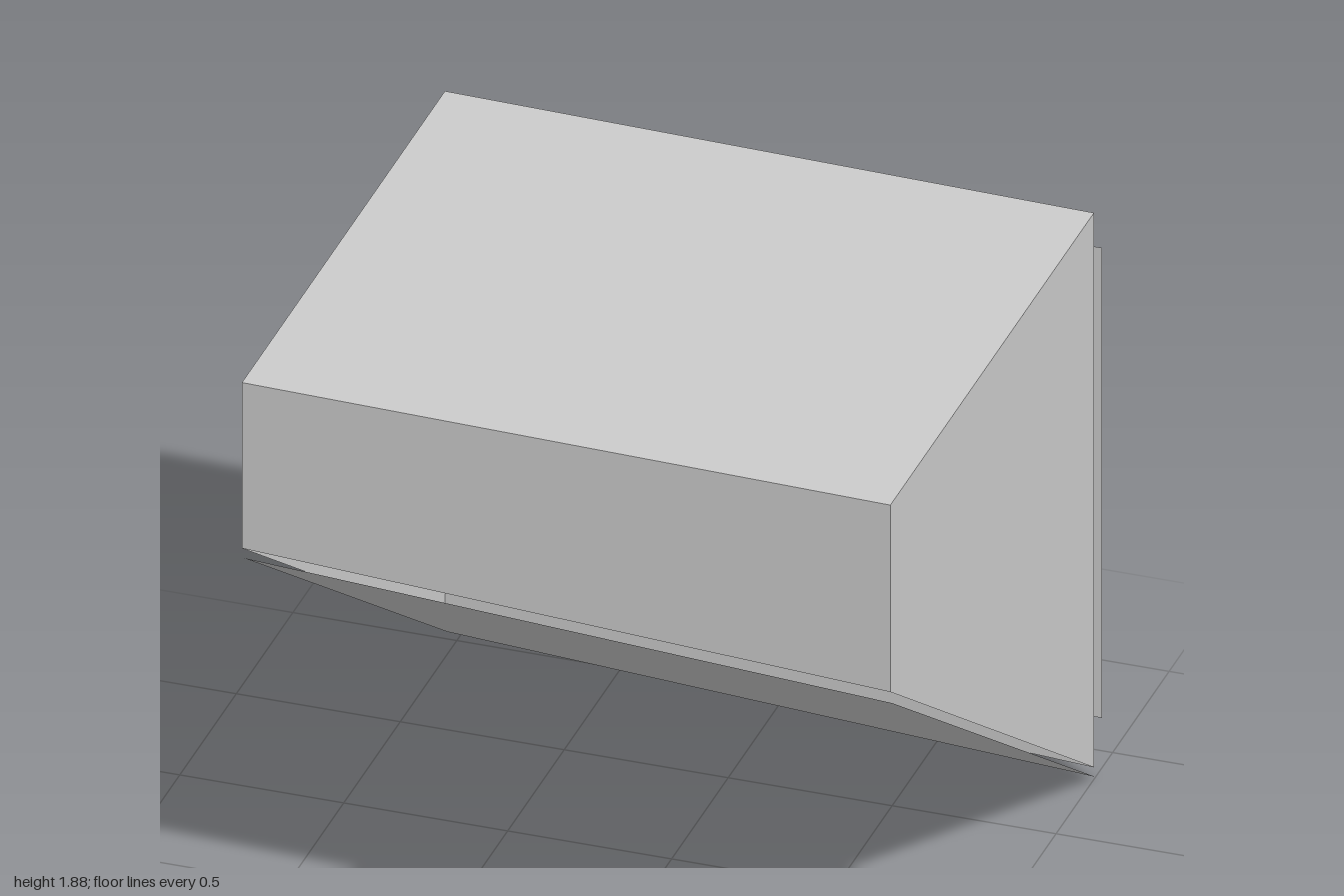
import * as THREE from 'three';

export function createModel() {
  const model = new THREE.Group();
  const grey = new THREE.MeshStandardMaterial({ color: 0xcccccc, side: THREE.DoubleSide, flatShading: true });
  grey.name = 'light grey';

  const add = (name, geometry) => {
    const mesh = new THREE.Mesh(geometry, grey);
    mesh.name = name;
    model.add(mesh);
    return mesh;
  };

  // Flat panel from four corners, counter-clockwise from outside
  const panel = (name, a, b, c, d) => {
    const g = new THREE.BufferGeometry();
    g.setAttribute('position', new THREE.Float32BufferAttribute([a, b, c, a, c, d].flat(), 3));
    g.computeVertexNormals();
    return add(name, g);
  };

  // Skewed wedge shell, open underneath: corners for the right (+x) and left (-x) ends
  const H = 1.88;
  const end = (x, front, back, yFront, yBack) => ({
    tf: [x, H, front], tb: [x, H, back], bf: [x, yFront, front], bb: [x, yBack, back],
  });
  const p = end(1, 0.965, -0.835, 1.26, 0.04);
  const n = end(-1, 0.9, -0.895, 1.33, 0.115);
  panel('topPanel', n.tf, p.tf, p.tb, n.tb);
  panel('frontPanel', n.bf, p.bf, p.tf, n.tf);
  panel('backPanel', p.bb, n.bb, n.tb, p.tb);
  panel('leftPanel', p.bf, p.bb, p.tb, p.tf);
  panel('rightPanel', n.bb, n.bf, n.tf, n.tb);

  // Thin sloping sheet just below the open underside
  panel('slopingSheet', [-1, 0.075, -0.915], [1, 0, -0.85], [1, 1.215, 0.95], [-1, 1.29, 0.885]);

  // Stepped round boss on the back
  const cy = 0.91;
  const disc = (name, radius, z0, z1) => {
    const g = new THREE.CylinderGeometry(radius, radius, z0 - z1, 16);
    g.rotateX(Math.PI / 2);
    add(name, g).position.set(0, cy, (z0 + z1) / 2);
  };
  disc('largeDisc', 0.71, -0.843, -0.9);
  disc('smallDisc', 0.63, -0.9, -0.935);

  // Flat back plate with a twelve-sided opening
  const w = 0.98, h = 0.78;
  const outline = new THREE.Shape([
    new THREE.Vector2(-w, -h), new THREE.Vector2(w, -h),
    new THREE.Vector2(w, h), new THREE.Vector2(-w, h),
  ]);
  const hole = [];
  for (let i = 0; i < 12; i++) {
    const a = -i * Math.PI / 6;
    hole.push(new THREE.Vector2(Math.cos(a) * 0.635, Math.sin(a) * 0.635));
  }
  outline.holes.push(new THREE.Path(hole));
  const plate = add('backPlate', new THREE.ShapeGeometry(outline));
  plate.rotation.y = Math.PI;
  plate.position.set(0, cy, -0.965);

  return model;
}
